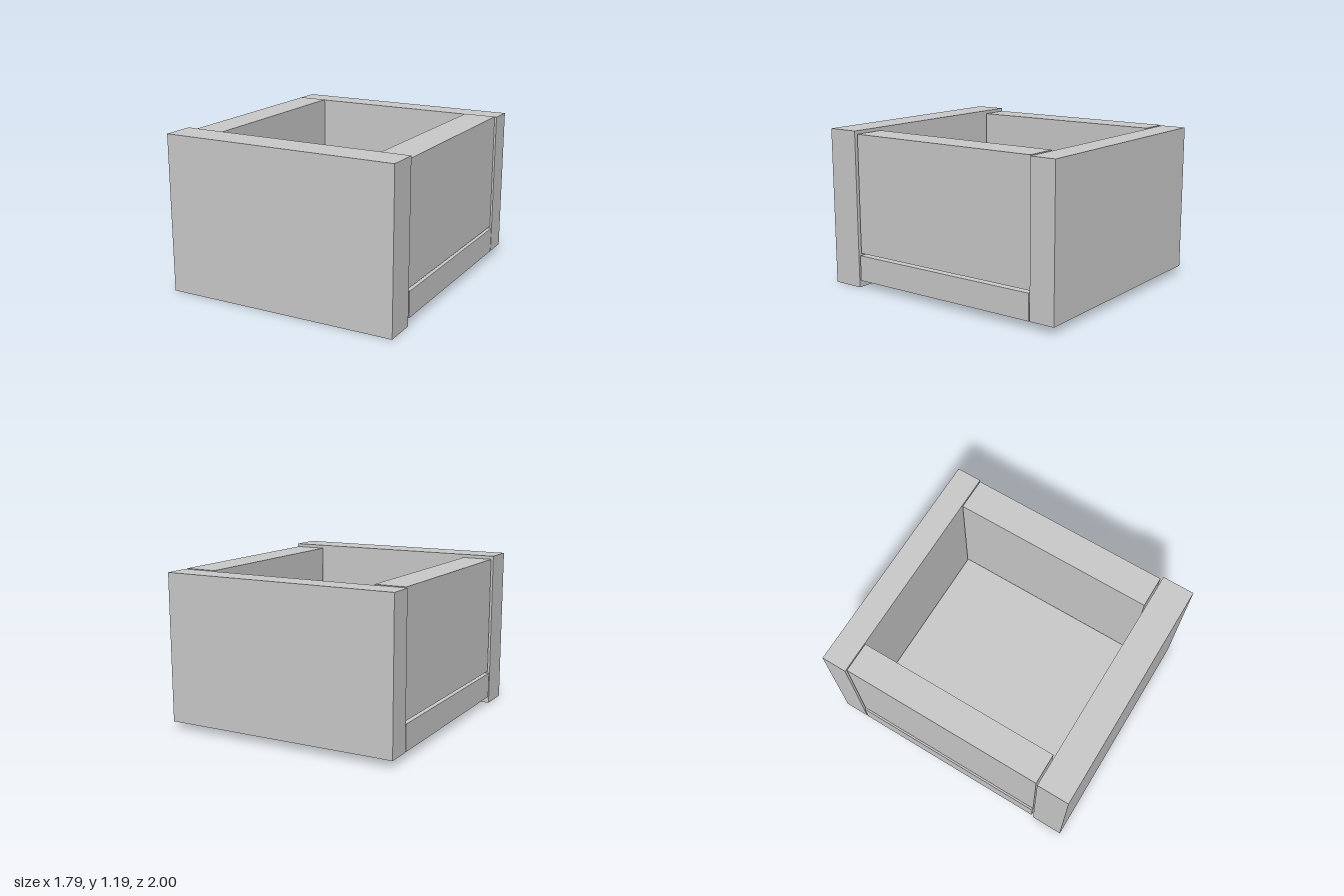
import * as THREE from 'three';

export function createModel() {
  const group = new THREE.Group();
  const material = new THREE.MeshStandardMaterial({ color: 0xcccccc });

  // Box given by its extents on each axis
  function board(name, [x0, x1], [y0, y1], [z0, z1]) {
    const mesh = new THREE.Mesh(new THREE.BoxGeometry(x1 - x0, y1 - y0, z1 - z0), material);
    mesh.position.set((x0 + x1) / 2, (y0 + y1) / 2, (z0 + z1) / 2);
    mesh.name = name;
    group.add(mesh);
  }

  const width = [-0.893, 0.893];
  const depth = [-0.8, 0.742];
  const sideHeight = [0.264, 1.163];

  // Tall front and back panels
  board('frontPanel', width, [0, 1.186], [0.757, 1]);
  board('backPanel', width, [0.055, 1.158], [-1, -0.808]);

  // Side walls standing just above the floor, with narrow gaps between boards
  board('leftSide', [0.635, 0.881], sideHeight, depth);
  board('rightSide', [-0.881, -0.651], sideHeight, depth);

  // Thick floor
  board('floor', width, [0.055, 0.249], depth);

  return group;
}
